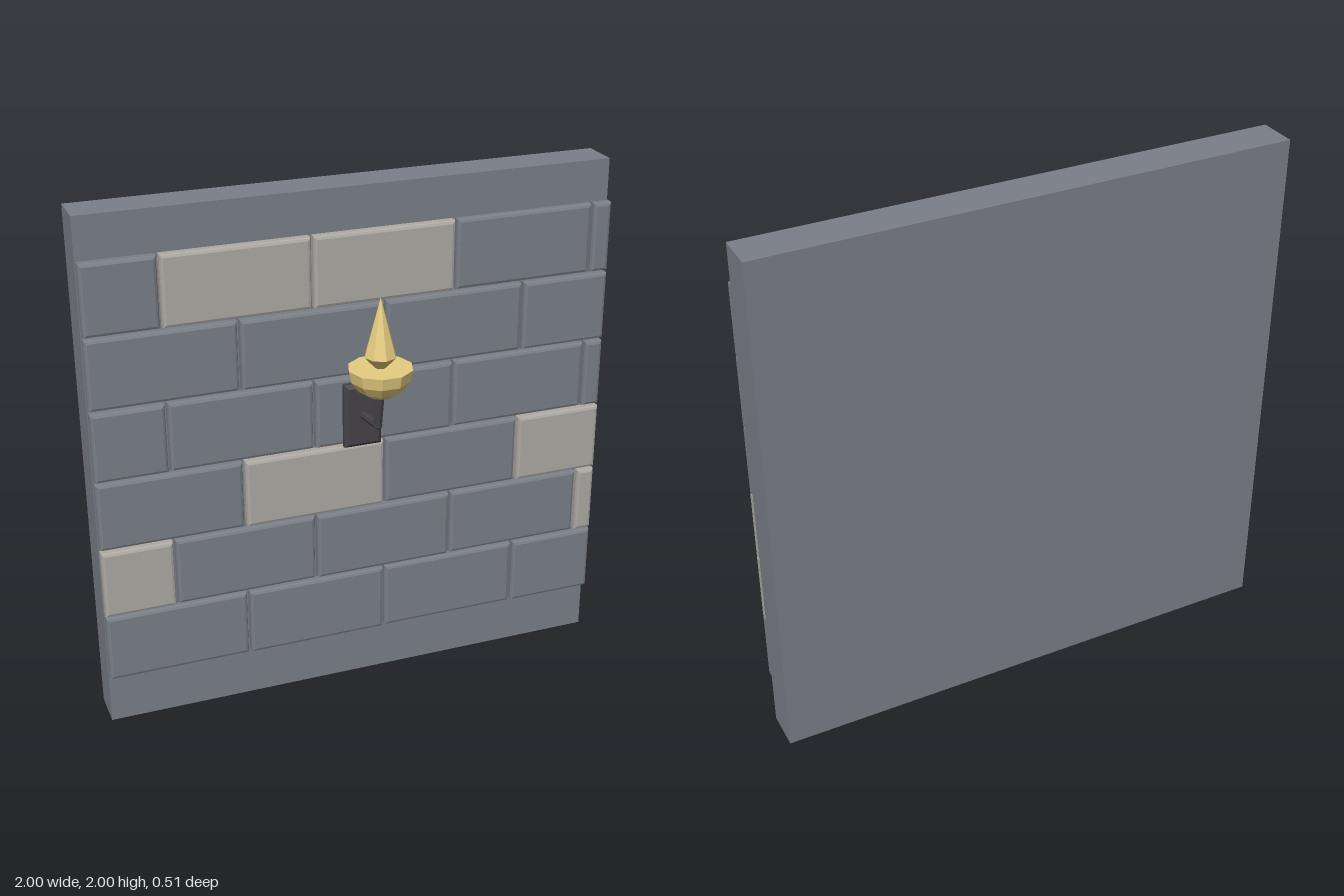
import * as THREE from 'three';

const material = (name, color) => {
  const m = new THREE.MeshStandardMaterial({ color, flatShading: true });
  m.name = name;
  return m;
};

export function createModel() {
  const model = new THREE.Group();
  model.name = 'wallWithSconce';
  const stone = material('grey stone', 0x7a7f87);
  const paleStone = material('pale stone', 0xadaaa3);
  const iron = material('dark iron', 0x454349);
  const gold = material('gold', 0xe6cd80);

  const add = (name, geometry, mat, parent = model) => {
    const mesh = new THREE.Mesh(geometry, mat);
    mesh.name = name;
    parent.add(mesh);
    return mesh;
  };

  // Box with softened edges, given by its limits
  const bevelledBox = (x0, x1, y0, y1, z0, z1, b, segments) => {
    const s = new THREE.Shape();
    s.moveTo(x0 + b, y0 + b);
    s.lineTo(x1 - b, y0 + b);
    s.lineTo(x1 - b, y1 - b);
    s.lineTo(x0 + b, y1 - b);
    return new THREE.ExtrudeGeometry(s, {
      depth: z1 - z0 - 2 * b, bevelEnabled: true, bevelSegments: segments, bevelSize: b, bevelThickness: b,
    }).translate(0, 0, z0 + b);
  };

  // Backing slab, with a pale underside
  add('wallSlab', new THREE.BoxGeometry(2, 2, 0.15),
    [stone, stone, stone, paleStone, stone, stone]).position.set(0, 1, -0.18);

  // Six courses of bricks in running bond
  const bricks = new THREE.Group();
  bricks.name = 'bricks';
  model.add(bricks);
  const joints = [[-1, -0.45, 0.1, 0.65, 1], [-1, -0.725, -0.175, 0.373, 0.922, 1]];
  const pale = ['1-0', '1-4', '2-1', '2-3', '5-1', '5-2'];
  const gap = 0.005;
  for (let row = 0; row < 6; row++) {
    const xs = joints[row % 2];
    const y = 0.2 + row * 0.275;
    for (let i = 0; i < xs.length - 1; i++) {
      const x0 = xs[i] + (i === 0 ? 0.002 : gap);
      const x1 = xs[i + 1] - (i === xs.length - 2 ? 0.002 : gap);
      const isPale = pale.includes(`${row}-${i}`);
      const front = isPale ? -0.06 : -0.065 + 0.004 * ((row + i) % 2);
      add(isPale ? 'paleBrick' : 'brick',
        bevelledBox(x0, x1, y + gap, y + 0.275 - gap, -0.107, front, 0.012, 2),
        isPale ? paleStone : stone, bricks);
    }
  }

  // Sconce: back plate, bent arm, cup and flame
  const sconce = new THREE.Group();
  sconce.name = 'sconce';
  model.add(sconce);
  add('backPlate', bevelledBox(-0.072, 0.072, 1.03, 1.28, -0.066, -0.02, 0.014, 1), iron, sconce);

  const rod = (name, from, to) => {
    const dir = to.clone().sub(from);
    const mesh = add(name, new THREE.CylinderGeometry(0.016, 0.016, dir.length(), 8), iron, sconce);
    mesh.position.copy(from).add(to).multiplyScalar(0.5);
    mesh.quaternion.setFromUnitVectors(new THREE.Vector3(0, 1, 0), dir.normalize());
  };
  const elbow = new THREE.Vector3(0, 1.178, 0.12);
  rod('lowerArm', new THREE.Vector3(0, 1.155, -0.04), elbow);
  rod('upperArm', elbow, new THREE.Vector3(0, 1.315, 0.145));
  add('elbow', new THREE.IcosahedronGeometry(0.017, 1), iron, sconce).position.copy(elbow);

  const lathe = (points, sides) =>
    new THREE.LatheGeometry(points.map(([r, y]) => new THREE.Vector2(r, y)), sides)
      .rotateY(Math.PI / 2).translate(0, 0, 0.143);
  add('cup', lathe([[0, 1.298], [0.045, 1.306], [0.083, 1.33], [0.109, 1.367], [0.118, 1.412], [0, 1.412]], 10),
    gold, sconce);
  add('flame', lathe([[0, 1.411], [0.02, 1.412], [0.059, 1.455], [0, 1.672]], 8), gold, sconce);

  return model;
}
